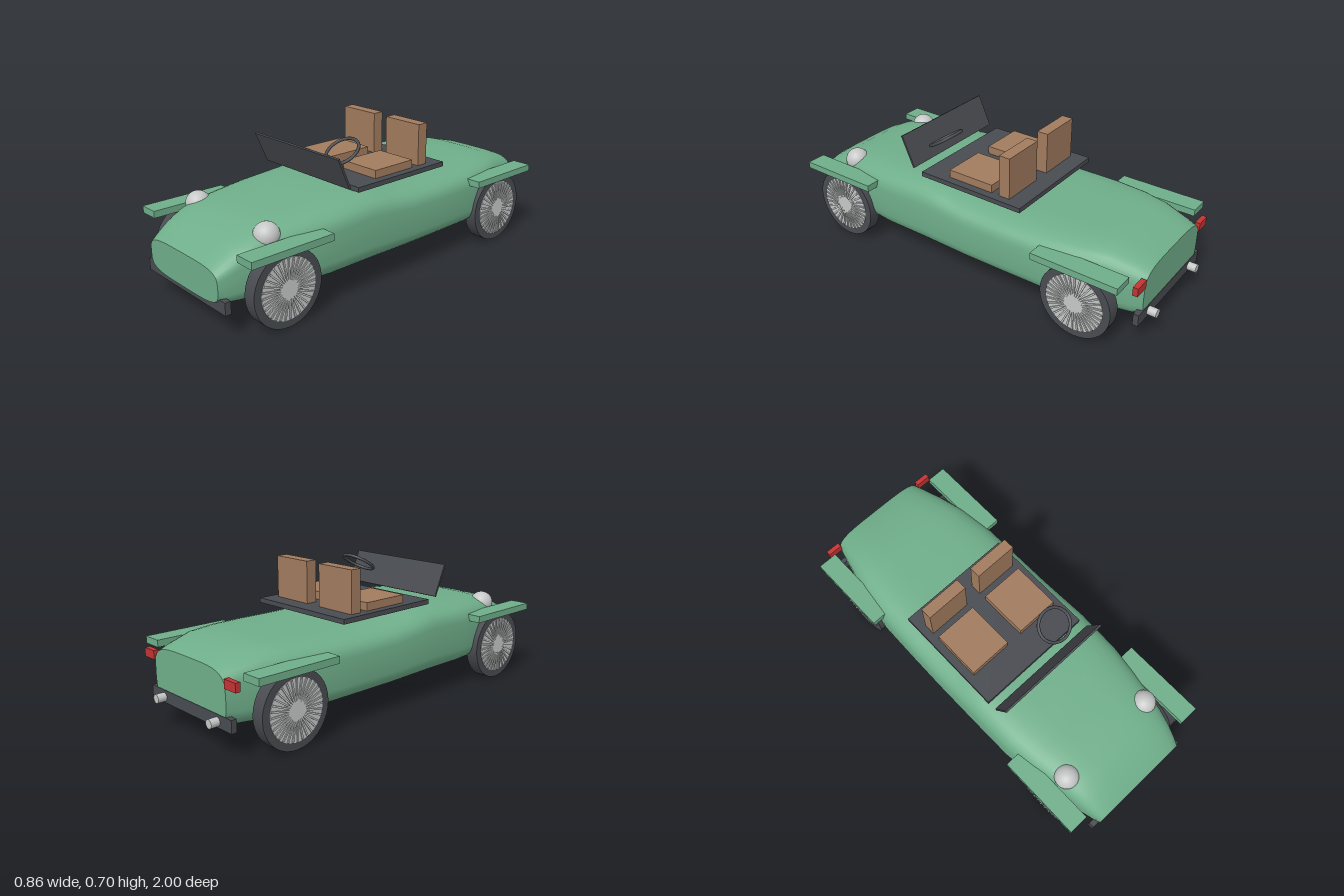
import * as THREE from 'three';

const mat = (name, color) => {
  const m = new THREE.MeshStandardMaterial({ color });
  m.name = name;
  return m;
};

export function createModel() {
  const green = mat('green paint', 0x6fae8a);
  const dark = mat('dark rubber', 0x484b50);
  const tan = mat('tan leather', 0xa17b5e);
  const silver = mat('silver', 0xc6c8c8);
  const red = mat('red lens', 0xc43434);

  const car = new THREE.Group();
  car.name = 'roadster';
  const add = (name, geo, material, x = 0, y = 0, z = 0, parent = car) => {
    const mesh = new THREE.Mesh(geo, material);
    mesh.name = name;
    mesh.position.set(x, y, z);
    parent.add(mesh);
    return mesh;
  };
  // box given by its limits along each axis
  const box = (name, material, x0, x1, y0, y1, z0, z1) =>
    add(name, new THREE.BoxGeometry(x1 - x0, y1 - y0, z1 - z0), material,
      (x0 + x1) / 2, (y0 + y1) / 2, (z0 + z1) / 2);

  // body shell: rounded sections [z, half width, bottom, top]
  const sections = [
    [-0.955, 0.27, 0.13, 0.385], [-0.9, 0.285, 0.113, 0.405], [-0.78, 0.315, 0.105, 0.435],
    [-0.65, 0.35, 0.105, 0.437], [-0.48, 0.374, 0.105, 0.433], [-0.25, 0.378, 0.105, 0.43],
    [-0.05, 0.38, 0.105, 0.432], [0.1, 0.38, 0.105, 0.453], [0.22, 0.38, 0.105, 0.47],
    [0.45, 0.376, 0.105, 0.453], [0.6, 0.357, 0.105, 0.442], [0.72, 0.335, 0.105, 0.434],
    [0.82, 0.317, 0.108, 0.413], [0.9, 0.3, 0.113, 0.375], [0.96, 0.283, 0.122, 0.335],
    [1.0, 0.268, 0.138, 0.302],
  ];
  const N = 40;
  const soft = (v) => Math.sign(v) * Math.sqrt(Math.abs(v));
  const pos = [], index = [];
  const ring = ([z, w, y0, y1]) => {
    for (let i = 0; i < N; i++) {
      const a = (i / N) * Math.PI * 2;
      pos.push(w * soft(Math.cos(a)), (y0 + y1) / 2 + ((y1 - y0) / 2) * soft(Math.sin(a)), z);
    }
  };
  sections.forEach(ring);
  for (let s = 0; s < sections.length - 1; s++) {
    for (let i = 0; i < N; i++) {
      const a = s * N + i, b = s * N + ((i + 1) % N);
      index.push(a, b, b + N, a, b + N, a + N);
    }
  }
  // flat nose and tail with their own vertices
  for (const [sec, front] of [[sections[0], false], [sections[sections.length - 1], true]]) {
    const start = pos.length / 3;
    ring(sec);
    pos.push(0, (sec[2] + sec[3]) / 2, sec[0]);
    for (let i = 0; i < N; i++) {
      const a = start + i, b = start + ((i + 1) % N);
      index.push(start + N, front ? a : b, front ? b : a);
    }
  }
  const shell = new THREE.BufferGeometry();
  shell.setAttribute('position', new THREE.Float32BufferAttribute(pos, 3));
  shell.setIndex(index);
  shell.computeVertexNormals();
  add('body', shell, green);

  // cockpit
  box('cockpitFloor', dark, -0.305, 0.305, 0.468, 0.492, -0.33, 0.25);
  const screen = add('windscreen', new THREE.BoxGeometry(0.61, 0.168, 0.01), dark, 0, 0.574, 0.335);
  screen.rotation.x = 0.42;
  const wheelRing = add('steeringWheel', new THREE.TorusGeometry(0.084, 0.008, 10, 32), dark,
    0.155, 0.625, 0.215);
  wheelRing.rotation.x = -1.0;

  // wheels with spoked discs
  const makeWheel = (side, z) => {
    const wheel = new THREE.Group();
    wheel.name = (z > 0 ? 'front' : 'rear') + (side > 0 ? 'LeftWheel' : 'RightWheel');
    wheel.position.set(side * 0.357, 0.18, z);
    const tyre = add('tyre', new THREE.CylinderGeometry(0.18, 0.18, 0.065, 36), dark, 0, 0, 0, wheel);
    const disc = add('wheelDisc', new THREE.CylinderGeometry(0.144, 0.144, 0.07, 36), silver, 0, 0, 0, wheel);
    tyre.rotation.z = disc.rotation.z = Math.PI / 2;
    for (let i = 0; i < 16; i++) {
      const spoke = add('spoke', new THREE.BoxGeometry(0.08, 0.284, 0.008), silver, 0, 0, 0, wheel);
      spoke.rotation.x = (i / 16) * Math.PI;
    }
    car.add(wheel);
  };

  // paired parts on the left and right
  for (const s of [1, -1]) {
    const side = s > 0 ? 'left' : 'right';
    const pair = (name, material, x0, x1, ...rest) =>
      box(side + name, material, Math.min(s * x0, s * x1), Math.max(s * x0, s * x1), ...rest);
    makeWheel(s, 0.73);
    makeWheel(s, -0.685);
    pair('FrontFender', green, 0.327, 0.428, 0.346, 0.38, 0.508, 0.94);
    pair('RearFender', green, 0.327, 0.428, 0.346, 0.38, -0.905, -0.472);
    pair('SeatCushion', tan, 0.043, 0.265, 0.49, 0.532, -0.145, 0.105);
    pair('SeatBack', tan, 0.043, 0.265, 0.49, 0.7, -0.245, -0.187);
    pair('TailLight', red, 0.27, 0.347, 0.312, 0.354, -0.96, -0.935);
    add(side + 'Headlight', new THREE.SphereGeometry(0.06, 24, 16), silver, s * 0.263, 0.39, 0.743);
    const pipe = add(side + 'Exhaust', new THREE.CylinderGeometry(0.021, 0.021, 0.08, 16), silver,
      s * 0.205, 0.152, -0.96);
    pipe.rotation.x = Math.PI / 2;
  }

  // bumpers
  box('frontBumper', dark, -0.305, 0.305, 0.115, 0.175, 0.965, 0.994);
  box('rearBumper', dark, -0.305, 0.305, 0.125, 0.185, -0.957, -0.93);

  return car;
}
